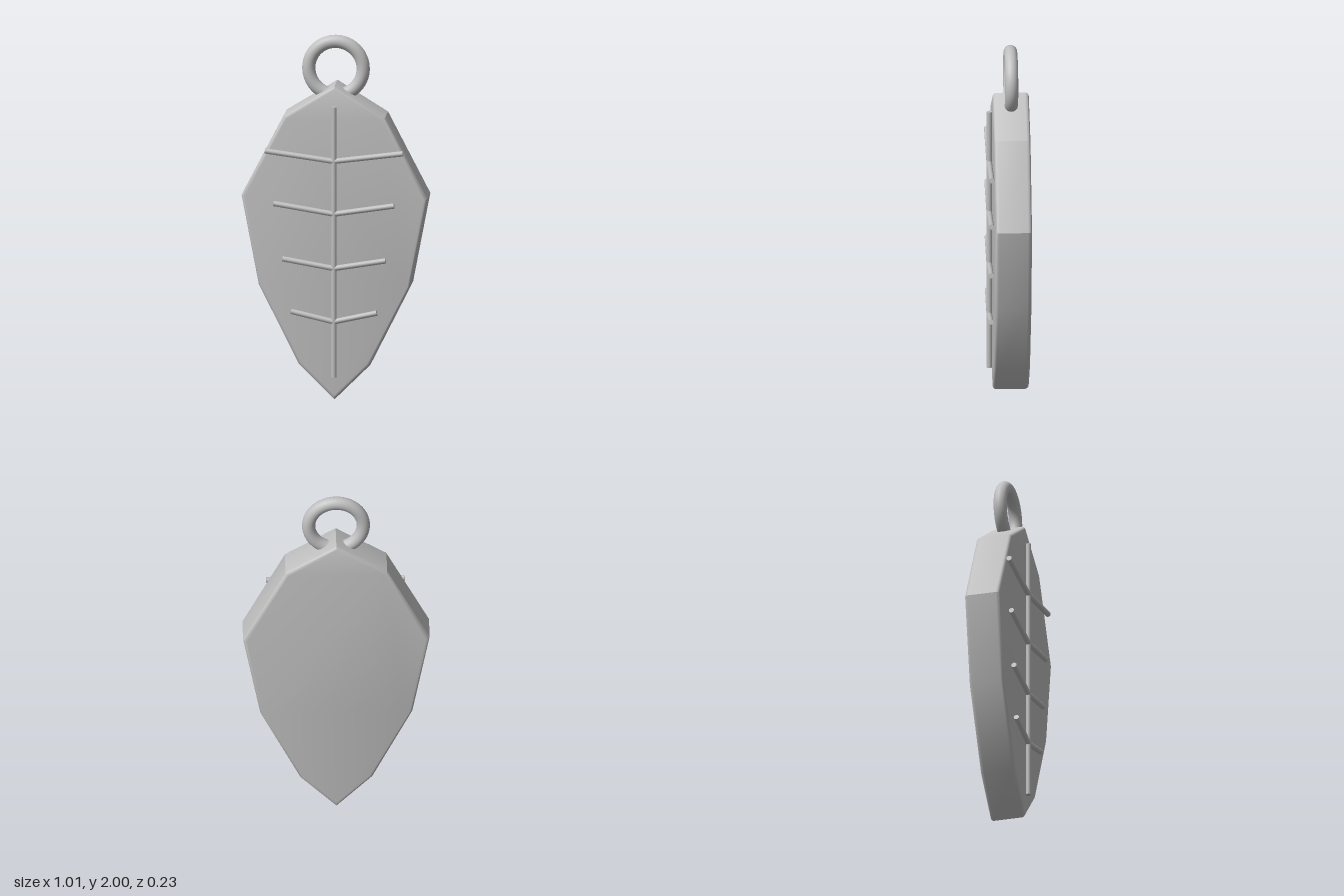
import * as THREE from 'three';
import { toCreasedNormals } from 'three/addons/utils/BufferGeometryUtils.js';

const metal = new THREE.MeshStandardMaterial({ color: 0xc0c0c0 });
metal.name = 'grey metal';

function addMesh(parent, name, geometry) {
  const mesh = new THREE.Mesh(geometry, metal);
  mesh.name = name;
  parent.add(mesh);
  return mesh;
}

// Thin round rod between two points
function addRod(parent, name, from, to, radius) {
  const direction = to.clone().sub(from);
  const rod = addMesh(parent, name, new THREE.CylinderGeometry(radius, radius, direction.length(), 12));
  rod.position.copy(from).add(to).multiplyScalar(0.5);
  rod.quaternion.setFromUnitVectors(new THREE.Vector3(0, 1, 0), direction.normalize());
}

export function createModel() {
  const group = new THREE.Group();
  group.name = 'leafPendant';

  // Leaf body: faceted outline, mirrored left to right, with rounded rims
  const half = [[0.195, 0.195], [0.412, 0.63], [0.505, 1.12], [0.275, 1.565]];
  const outline = [[0, 0], ...half, [0, 1.735], ...half.map(([x, y]) => [-x, y]).reverse()];
  const shape = new THREE.Shape(outline.map(([x, y]) => new THREE.Vector2(x, y)));
  const bevel = 0.02, back = -0.115, front = 0.082;
  const body = new THREE.ExtrudeGeometry(shape, {
    depth: front - back - 2 * bevel,
    bevelEnabled: true,
    bevelThickness: bevel,
    bevelSize: bevel,
    bevelOffset: -bevel,
    bevelSegments: 5,
  });
  body.translate(0, 0, back + bevel);
  addMesh(group, 'leafBody', toCreasedNormals(body, 0.5));

  // Midrib and paired side veins on the front face
  const veinZ = 0.099, radius = 0.015;
  const veins = new THREE.Group();
  veins.name = 'veins';
  group.add(veins);
  addRod(veins, 'midrib', new THREE.Vector3(0, 0.13, veinZ), new THREE.Vector3(0, 1.625, veinZ), radius);
  const pairs = [[0.375, 1.375, 1.325], [0.328, 1.085, 1.033], [0.28, 0.78, 0.732], [0.233, 0.49, 0.437]];
  for (const [x, outerY, innerY] of pairs) {
    for (const side of [1, -1]) {
      addRod(veins, side > 0 ? 'leftVein' : 'rightVein',
        new THREE.Vector3(0, innerY, veinZ), new THREE.Vector3(side * x, outerY, veinZ), radius);
    }
  }

  // Hanging ring through the top tip
  const ring = addMesh(group, 'hangingRing', new THREE.TorusGeometry(0.148, 0.036, 20, 64));
  ring.position.set(0, 1.816, -0.017);

  return group;
}
